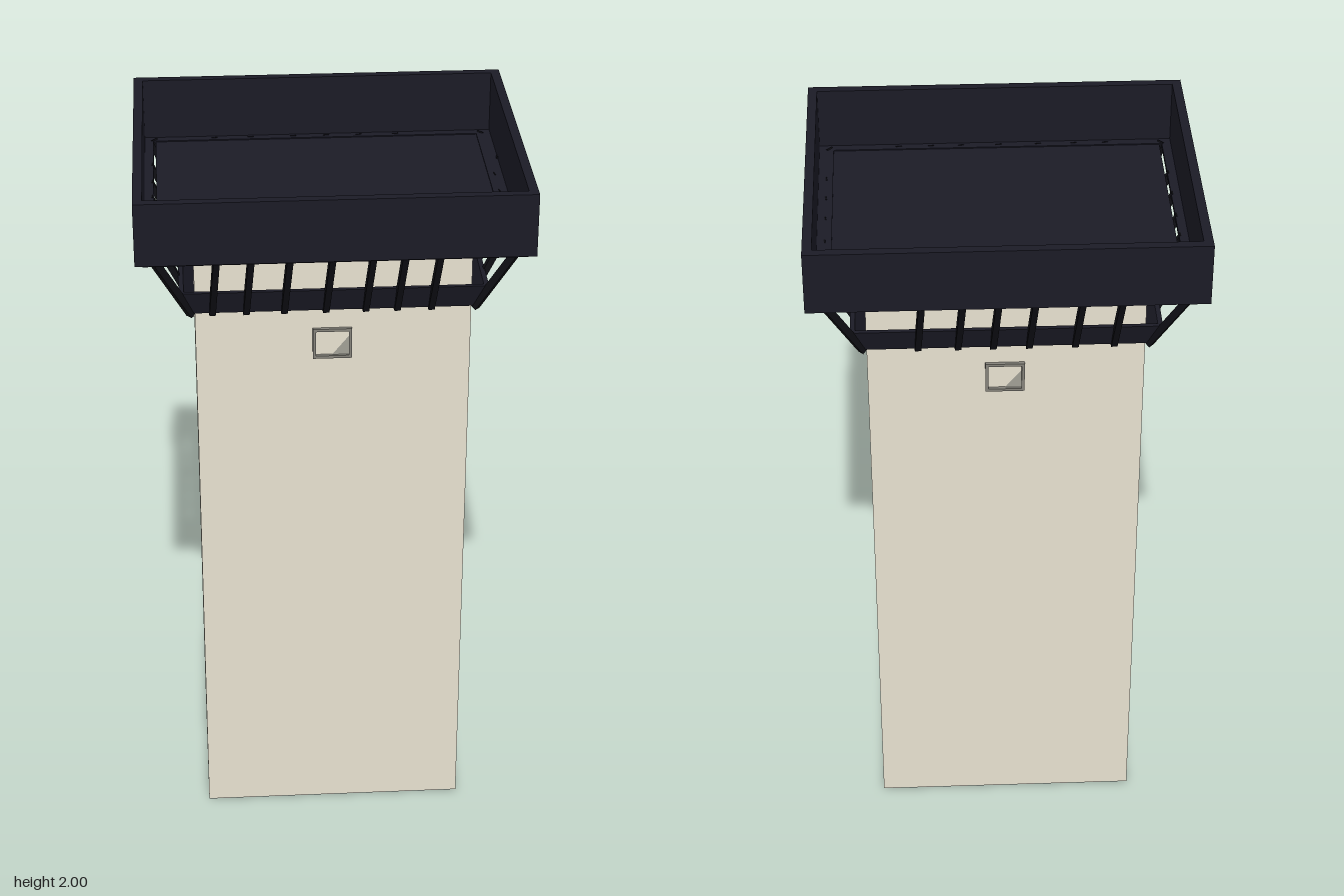
import * as THREE from 'three';

const mat = (name, color) => {
  const m = new THREE.MeshStandardMaterial({ color });
  m.name = name;
  return m;
};

// Closed rectangular shell swept through [halfX, halfZ, y] rings, flat faces
function rectShell(rings) {
  const corners = [[1, 1], [1, -1], [-1, -1], [-1, 1]];
  const pos = [];
  const point = (i, k) => {
    const [hx, hz, y] = rings[i % rings.length];
    const [sx, sz] = corners[k % 4];
    return [hx * sx, y, hz * sz];
  };
  for (let i = 0; i < rings.length; i++) {
    for (let k = 0; k < 4; k++) {
      const a = point(i, k), b = point(i, k + 1), c = point(i + 1, k + 1), d = point(i + 1, k);
      pos.push(...a, ...b, ...c, ...a, ...c, ...d);
    }
  }
  const g = new THREE.BufferGeometry();
  g.setAttribute('position', new THREE.Float32BufferAttribute(pos, 3));
  g.computeVertexNormals();
  return g;
}

const rectPath = (path, x0, x1, y0, y1) => {
  path.moveTo(x0, y0);
  path.lineTo(x1, y0);
  path.lineTo(x1, y1);
  path.lineTo(x0, y1);
  path.closePath();
  return path;
};

export function createModel() {
  const root = new THREE.Group();
  root.name = 'watchtower';
  const stone = mat('beige wall', 0xe7e1d0);
  const dark = mat('dark navy', 0x1b1b26);
  const black = mat('black strut', 0x0f0f14);
  const grey = mat('grey frame', 0x84827a);
  const paneGrey = mat('grey pane', 0xa19f95);
  const baseGrey = mat('grey base', 0x919191);

  const add = (name, geo, material, x = 0, y = 0, z = 0, parent = root) => {
    const m = new THREE.Mesh(geo, material);
    m.name = name;
    m.position.set(x, y, z);
    parent.add(m);
    return m;
  };

  // Shaft and its underside
  add('shaft', new THREE.BoxGeometry(0.738, 1.814, 0.61), stone, 0, 0.908, 0);
  add('base', new THREE.BoxGeometry(0.738, 0.001, 0.61), baseGrey, 0, 0.0005, 0);

  // Flared band around the top of the shaft
  add('band', rectShell([
    [0.385, 0.32, 1.63], [0.41, 0.345, 1.7], [0.397, 0.332, 1.7], [0.367, 0.303, 1.63],
  ]), dark);

  // Open parapet, its bottom flange and the deck; a slit stays open at -x
  add('parapet', rectShell([
    [0.52, 0.435, 1.826], [0.52, 0.435, 2], [0.495, 0.41, 2], [0.495, 0.41, 1.826],
  ]), dark);
  const flange = rectPath(new THREE.Shape(), -0.5, 0.5, -0.415, 0.415);
  flange.holes.push(rectPath(new THREE.Path(), -0.47, 0.455, -0.384, 0.384));
  const flangeGeo = new THREE.ExtrudeGeometry(flange, { depth: 0.012, bevelEnabled: false });
  flangeGeo.rotateX(-Math.PI / 2);
  add('parapetFlange', flangeGeo, dark, 0, 1.815, 0);
  add('deck', new THREE.BoxGeometry(0.918, 0.014, 0.768), dark, -0.004, 1.817, 0);

  // Slanted struts between the band and the parapet
  const struts = new THREE.Group();
  struts.name = 'struts';
  root.add(struts);
  const strut = (name, a, b, w = 0.017) => {
    const from = new THREE.Vector3(...a), to = new THREE.Vector3(...b);
    const m = add(name, new THREE.BoxGeometry(w, w, from.distanceTo(to)), black, 0, 0, 0, struts);
    m.position.copy(from).add(to).multiplyScalar(0.5);
    m.lookAt(to);
  };
  for (const x of [-0.323, -0.233, -0.132, -0.021, 0.085, 0.169, 0.26]) {
    strut('frontStrut', [x, 1.625, 0.313], [x + 0.013, 1.825, 0.405]);
  }
  for (const x of [-0.285, -0.182, -0.06, 0.035, 0.128, 0.234]) {
    strut('backStrut', [x, 1.625, -0.313], [x - 0.012, 1.825, -0.405]);
  }
  for (const z of [0.238, 0.135, 0.03, -0.085]) {
    strut('leftStrut', [0.378, 1.625, z], [0.48, 1.825, z - 0.01]);
  }
  // One strut leans out past the parapet
  strut('longStrut', [0.395, 1.66, -0.215], [0.515, 1.85, -0.205]);
  for (const z of [0.225, 0.115, 0, -0.1, -0.22]) {
    strut('rightStrut', [-0.378, 1.625, z], [-0.48, 1.825, z]);
  }
  for (const sx of [-1, 1]) {
    for (const sz of [-1, 1]) {
      strut('cornerStrut', [sx * 0.378, 1.625, sz * 0.313], [sx * 0.473, 1.825, sz * 0.397], 0.02);
    }
  }

  // Small framed windows, one on each wall
  const windowAt = (name, w, h, depth, x, y, z, turn, shaded) => {
    const g = new THREE.Group();
    g.name = name;
    g.position.set(x, y, z);
    g.rotation.y = turn;
    root.add(g);
    const t = 0.008;
    const frame = rectPath(new THREE.Shape(), -w / 2, w / 2, -h / 2, h / 2);
    frame.holes.push(rectPath(new THREE.Path(), -w / 2 + t, w / 2 - t, -h / 2 + t, h / 2 - t));
    add('windowFrame', new THREE.ExtrudeGeometry(frame, { depth, bevelEnabled: false }), grey, 0, 0, 0, g);
    if (!shaded) return;
    // Shaded lower corner of the pane
    const r = w / 2 - t, b = -h / 2 + t;
    const tri = new THREE.Shape();
    tri.moveTo(r, b);
    tri.lineTo(r, b + 0.055);
    tri.lineTo(r - 0.045, b);
    tri.closePath();
    add('paneShade', new THREE.ShapeGeometry(tri), paneGrey, 0, 0, 0.003, g);
  };
  windowAt('frontWindow', 0.105, 0.088, 0.01, -0.003, 1.525, 0.305, 0, true);
  windowAt('backWindow', 0.105, 0.088, 0.01, 0.003, 1.525, -0.305, Math.PI, true);
  windowAt('leftWindow', 0.064, 0.066, 0.006, 0.369, 1.504, 0.003, Math.PI / 2, false);
  windowAt('rightWindow', 0.064, 0.066, 0.006, -0.369, 1.504, -0.003, -Math.PI / 2, false);

  return root;
}
